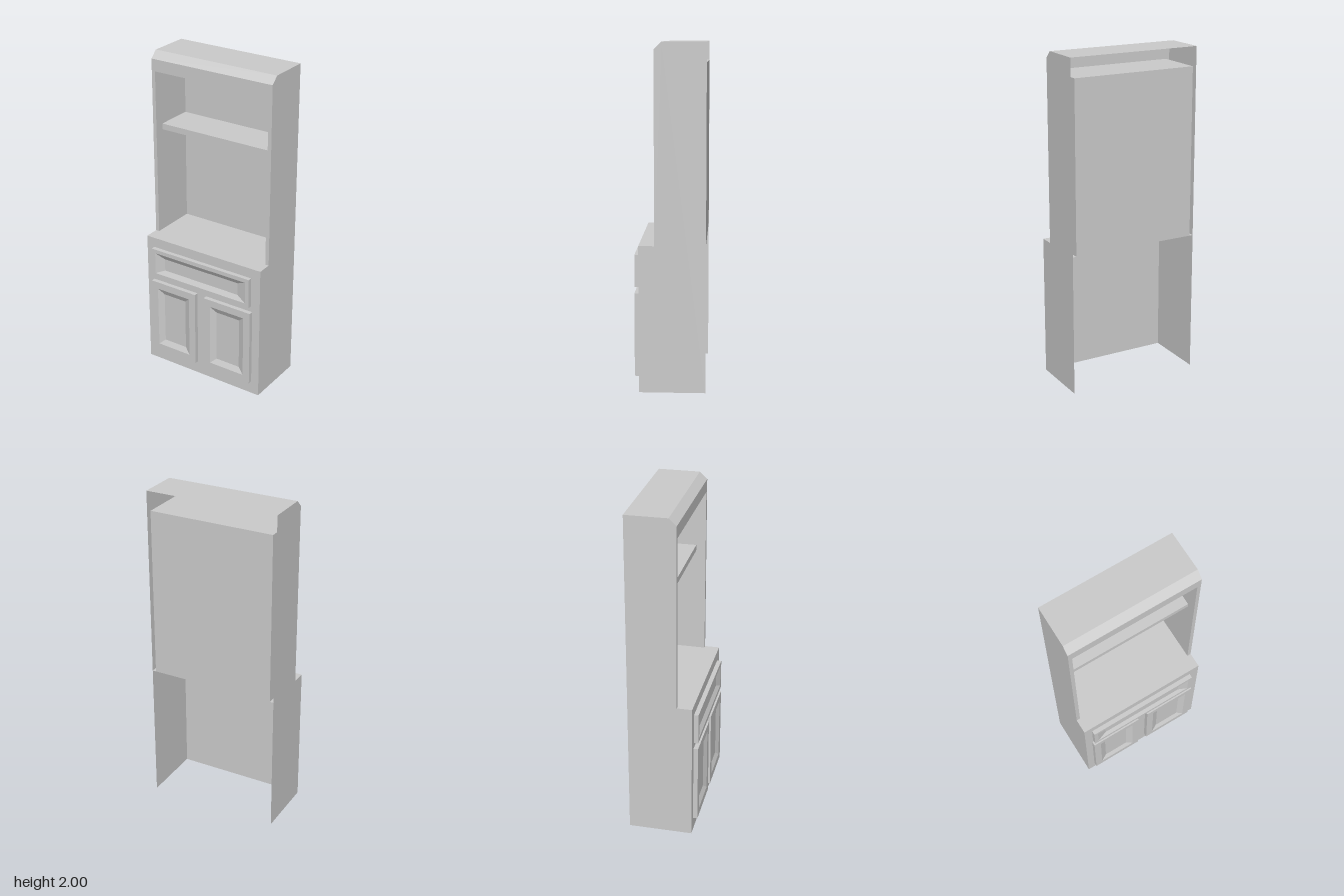
import * as THREE from 'three';

const material = new THREE.MeshStandardMaterial({ color: 0xcccccc, side: THREE.DoubleSide });

const W = 0.407;          // half width of the cabinet
const BACK = -0.205;      // open back edge
const BASE = 0.178;       // front of the lower cabinet
const UPPER = 0.088;      // front of the hutch
const COUNTER = 0.857;    // counter height
const NICHE = { w: 0.384, top: 1.885 };

function add(group, name, geometry, x = 0, y = 0, z = 0) {
  const mesh = new THREE.Mesh(geometry, material);
  mesh.name = name;
  mesh.position.set(x, y, z);
  group.add(mesh);
  return mesh;
}

// Flat strip across the width between two (z, y) points
function strip(group, name, halfWidth, [z0, y0], [z1, y1]) {
  const g = new THREE.PlaneGeometry(2 * halfWidth, Math.hypot(z1 - z0, y1 - y0));
  g.rotateX(Math.atan2(z1 - z0, y1 - y0));
  return add(group, name, g, 0, (y0 + y1) / 2, (z0 + z1) / 2);
}

// Slab front with a bevelled recess, lofted through rectangular rings
function recessedPanel(group, name, x0, x1, y0, y1, outer, innerX, innerY) {
  const front = 0.205, deep = 0.189;
  const rings = [[0, 0, BASE], [0, 0, front], [outer, outer, front], [innerX, innerY, deep]];
  const pos = [], index = [];
  for (const [ix, iy, z] of rings) {
    pos.push(x0 + ix, y0 + iy, z, x1 - ix, y0 + iy, z, x1 - ix, y1 - iy, z, x0 + ix, y1 - iy, z);
  }
  for (let r = 0; r < rings.length - 1; r++) {
    for (let i = 0; i < 4; i++) {
      const a = r * 4 + i, b = r * 4 + (i + 1) % 4;
      index.push(a, b, b + 4, a, b + 4, a + 4);
    }
  }
  index.push(12, 13, 14, 12, 14, 15);
  const indexed = new THREE.BufferGeometry();
  indexed.setAttribute('position', new THREE.Float32BufferAttribute(pos, 3));
  indexed.setIndex(index);
  const g = indexed.toNonIndexed();
  g.computeVertexNormals();
  add(group, name, g);
}

export function createModel() {
  const model = new THREE.Group();
  model.name = 'hutchCabinet';

  // Side panels with the stepped, chamfered outline
  const outline = [[BACK, 0], [BASE, 0], [BASE, COUNTER], [UPPER, COUNTER],
    [UPPER, 1.958], [0.044, 2], [BACK, 2]];
  const side = new THREE.Shape(outline.map(([z, y]) => new THREE.Vector2(z, y)));
  for (const s of [-1, 1]) {
    const g = new THREE.ShapeGeometry(side);
    g.rotateY(-Math.PI / 2);
    if (s > 0) g.scale(1, 1, 1).setIndex([...g.index.array].reverse());
    if (s > 0) g.computeVertexNormals();
    add(model, s > 0 ? 'leftSide' : 'rightSide', g, s * W);
  }

  // Outer skin; back and underside stay open
  strip(model, 'baseFront', W, [BASE, 0], [BASE, COUNTER]);
  strip(model, 'counter', W, [BASE, COUNTER], [BACK, COUNTER]);
  strip(model, 'topChamfer', W, [UPPER, 1.958], [0.044, 2]);
  strip(model, 'top', W, [0.044, 2], [BACK, 2]);

  // Face frame around the niche opening
  const frame = new THREE.Shape([[-W, COUNTER], [-NICHE.w, COUNTER], [-NICHE.w, NICHE.top],
    [NICHE.w, NICHE.top], [NICHE.w, COUNTER], [W, COUNTER], [W, 1.958], [-W, 1.958]]
    .map(([x, y]) => new THREE.Vector2(x, y)));
  add(model, 'faceFrame', new THREE.ShapeGeometry(frame), 0, 0, UPPER);

  // Niche lining
  strip(model, 'nicheBack', NICHE.w, [BACK, COUNTER], [BACK, NICHE.top]);
  strip(model, 'nicheCeiling', NICHE.w, [BACK, NICHE.top], [UPPER, NICHE.top]);
  for (const s of [-1, 1]) {
    const g = new THREE.PlaneGeometry(UPPER - BACK, NICHE.top - COUNTER);
    g.rotateY(-s * Math.PI / 2);
    add(model, s > 0 ? 'nicheLeftWall' : 'nicheRightWall', g,
      s * NICHE.w, (NICHE.top + COUNTER) / 2, (UPPER + BACK) / 2);
  }

  // Shelf
  const shelfFront = 0.03;
  add(model, 'shelf', new THREE.BoxGeometry(2 * NICHE.w, 0.036, shelfFront - BACK - 0.001),
    0, 1.528, (shelfFront + BACK + 0.001) / 2);

  // Drawer and doors
  recessedPanel(model, 'drawerFront', -0.355, 0.346, 0.607, 0.795, 0.025, 0.087, 0.055);
  recessedPanel(model, 'rightDoor', -0.361, -0.037, 0.082, 0.571, 0.045, 0.084, 0.08);
  recessedPanel(model, 'leftDoor', 0.027, 0.356, 0.082, 0.571, 0.045, 0.084, 0.08);

  return model;
}
